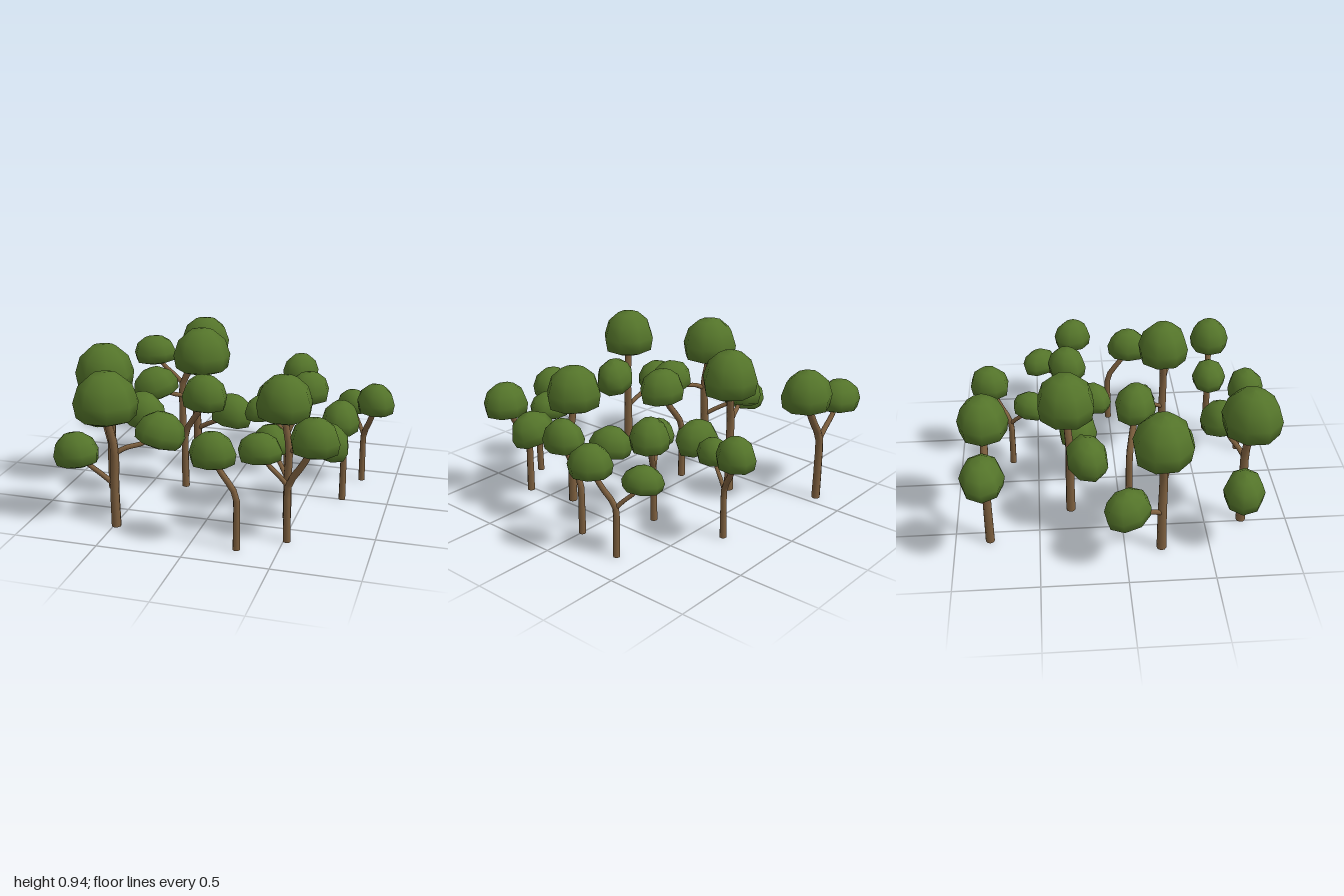
import * as THREE from 'three';

const bark = new THREE.MeshStandardMaterial({ color: 0x7d5f3e });
const leaf = new THREE.MeshStandardMaterial({ color: 0x54742a });
const deg = THREE.MathUtils.degToRad;

// Flat-bottomed dome, one unit in radius and height
const domeProfile = [[0, 0], [0.6, 0.02], [0.92, 0.1], [1, 0.4], [0.82, 0.74], [0.42, 0.96], [0, 1]]
  .map(([r, y]) => new THREE.Vector2(r, y));
const dome = new THREE.LatheGeometry(domeProfile, 8);

// Tapered round limb along a smooth path
function limb(name, points, r0, r1) {
  const seg = 10, sides = 8;
  const path = new THREE.CatmullRomCurve3(points.map(p => new THREE.Vector3(...p)));
  const geo = new THREE.TubeGeometry(path, seg, 1, sides);
  const pos = geo.attributes.position, v = new THREE.Vector3();
  for (let i = 0; i < pos.count; i++) {
    const t = Math.floor(i / (sides + 1)) / seg;
    const c = path.getPointAt(t);
    v.fromBufferAttribute(pos, i).sub(c).multiplyScalar(r0 + (r1 - r0) * t).add(c);
    pos.setXYZ(i, v.x, v.y, v.z);
  }
  const mesh = new THREE.Mesh(geo, bark);
  mesh.name = name;
  return mesh;
}

// Crown placed at a distance and bearing from the trunk, tilting down outwards
function crown(name, dist, bearing, y0, y1, rLong, rWide, tilt = 0) {
  const h = y1 - y0;
  const mesh = new THREE.Mesh(dome, leaf);
  mesh.name = name;
  mesh.scale.set(rLong, h, rWide);
  mesh.position.set(dist, y0, 0);
  mesh.rotation.z = -deg(tilt);
  const pivot = new THREE.Group();
  pivot.name = name + 'Pivot';
  pivot.rotation.y = -deg(bearing);
  pivot.add(mesh);
  return pivot;
}

function trunkBase(r) {
  const mesh = new THREE.Mesh(new THREE.CircleGeometry(r, 8), bark);
  mesh.rotation.x = Math.PI / 2;
  mesh.name = 'trunkBase';
  return mesh;
}

// Tall tree: top crown, low branch along +x, higher branch on the other side
function tallTree() {
  const a = deg(145), c = Math.cos(a), s = Math.sin(a);
  return [
    trunkBase(0.029),
    limb('trunk', [[0, 0, 0], [0.002, 0.25, 0], [-0.004, 0.48, 0.003], [0.02, 0.64, -0.014], [0.027, 0.74, -0.019]], 0.029, 0.022),
    limb('lowBranch', [[0, 0.26, 0], [0.09, 0.31, 0], [0.16, 0.345, 0], [0.24, 0.39, 0]], 0.016, 0.014),
    limb('highBranch', [[0, 0.45, 0], [0.07 * c, 0.485, 0.07 * s], [0.16 * c, 0.505, 0.16 * s], [0.25 * c, 0.55, 0.25 * s]], 0.016, 0.014),
    crown('topCrown', 0.033, -35, 0.65, 0.94, 0.185, 0.175),
    crown('lowCrown', 0.25, 0, 0.335, 0.535, 0.145, 0.12, 9),
    crown('highCrown', 0.247, 145, 0.49, 0.69, 0.148, 0.122, 17),
  ];
}

// Forked tree: main stem leaning to +x, thinner branch to -x
function forkedTree() {
  return [
    trunkBase(0.023),
    limb('trunk', [[0, 0, 0], [-0.003, 0.2, 0], [0.003, 0.35, 0], [0.07, 0.46, 0], [0.125, 0.56, 0], [0.145, 0.64, 0]], 0.023, 0.018),
    limb('branch', [[0, 0.34, 0], [-0.05, 0.39, 0], [-0.12, 0.45, 0], [-0.16, 0.52, 0]], 0.015, 0.013),
    crown('topCrown', 0.15, 0, 0.55, 0.76, 0.143, 0.127),
    crown('sideCrown', 0.165, 180, 0.46, 0.625, 0.134, 0.108, 5),
  ];
}

// Single-crown tree bending towards +x
function bentTree() {
  return [
    trunkBase(0.021),
    limb('trunk', [[0, 0, 0], [-0.002, 0.18, 0], [0.005, 0.33, 0], [0.06, 0.42, 0], [0.11, 0.49, 0], [0.13, 0.56, 0]], 0.021, 0.017),
    crown('topCrown', 0.132, 0, 0.487, 0.682, 0.135, 0.113, 2),
  ];
}

export function createModel() {
  const grove = new THREE.Group();
  grove.name = 'grove';
  // kind, x, z, heading in degrees (from +x towards +z), scale
  const trees = [
    ['tallTree', tallTree, -0.485, 0.725, 191, 1],
    ['tallTree', tallTree, -0.71, 0.215, 235, 1],
    ['tallTree', tallTree, -0.31, -0.305, 14, 1],
    ['tallTree', tallTree, 0.45, 0.345, 233, 0.935],
    ['forkedTree', forkedTree, -0.575, -0.795, 0, 1.17],
    ['forkedTree', forkedTree, 0.52, 0.655, 8, 1],
    ['forkedTree', forkedTree, 0.32, -0.215, -32, 0.94],
    ['forkedTree', forkedTree, 0.79, -0.345, 53, 0.9],
    ['forkedTree', forkedTree, 0.22, -0.665, -63, 0.9],
    ['bentTree', bentTree, 0.27, 0.83, 180, 1],
    ['bentTree', bentTree, -0.275, 0.06, 18, 1.12],
    ['bentTree', bentTree, 0.72, -0.005, 92, 1],
  ];
  for (const [name, build, x, z, heading, size] of trees) {
    const tree = new THREE.Group();
    tree.name = name;
    tree.add(...build());
    tree.position.set(x, 0, z);
    tree.rotation.y = -deg(heading);
    tree.scale.setScalar(size);
    grove.add(tree);
  }
  return grove;
}
